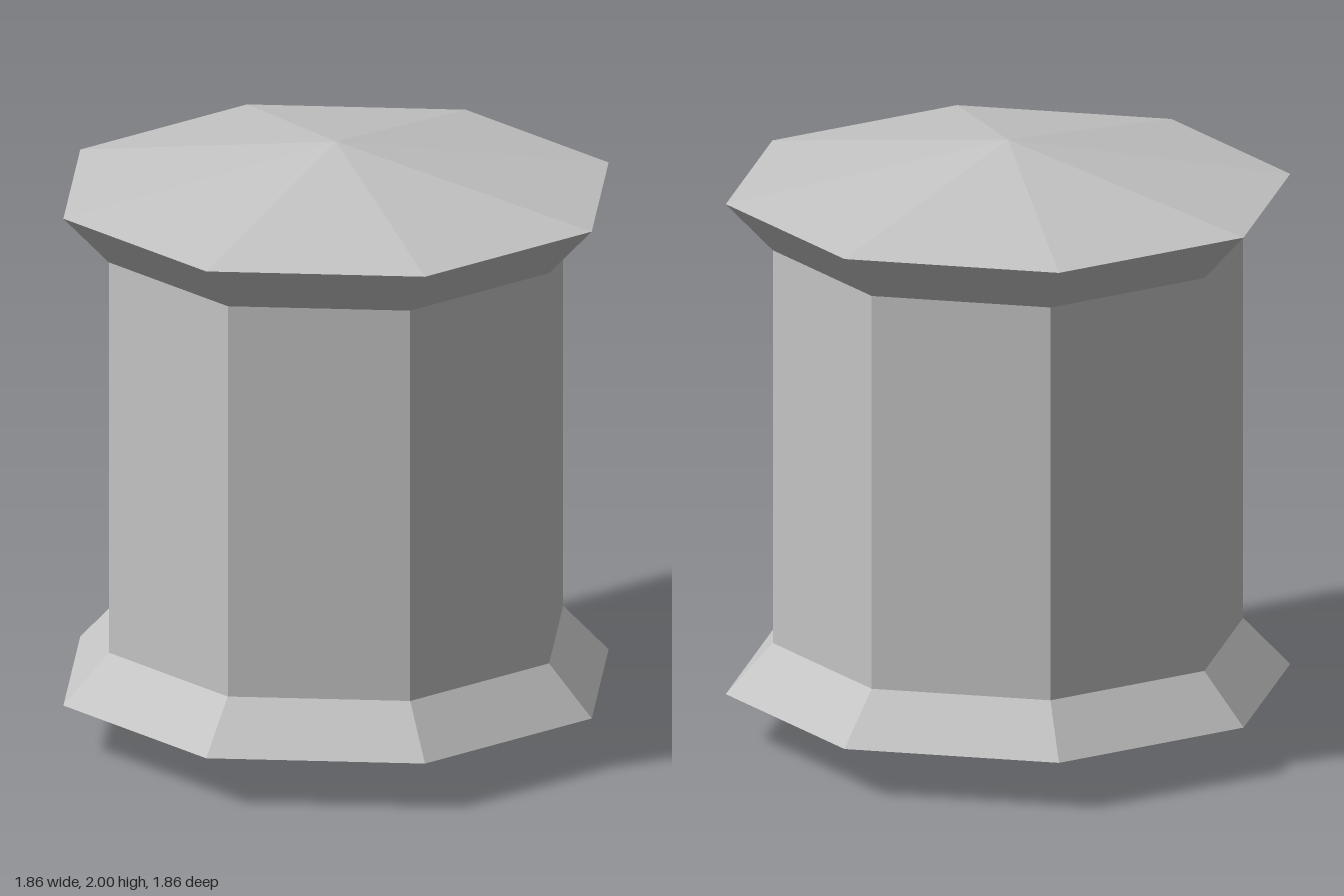
import * as THREE from 'three';

const SIDES = 8;

export function createModel() {
  const model = new THREE.Group();
  model.name = 'octagonalSpool';

  const grey = new THREE.MeshStandardMaterial({ color: 0xc4c4c4, flatShading: true });
  grey.name = 'grey';

  // Octagonal solid of revolution; profile is [radius, height] from bottom to top
  const addPart = (name, profile) => {
    const points = profile.map(([r, y]) => new THREE.Vector2(r, y));
    const mesh = new THREE.Mesh(new THREE.LatheGeometry(points, SIDES), grey);
    mesh.name = name;
    model.add(mesh);
  };

  const shaft = 0.775, rim = 0.93;

  // Pointed underside and flared foot
  addPart('base', [[0, 0], [rim, 0.168], [shaft, 0.333]]);
  // Straight eight-sided body
  addPart('shaft', [[shaft, 0.333], [shaft, 1.667]]);
  // Flared collar and shallow pointed lid
  addPart('cap', [[shaft, 1.667], [rim, 1.832], [0, 2]]);

  return model;
}
